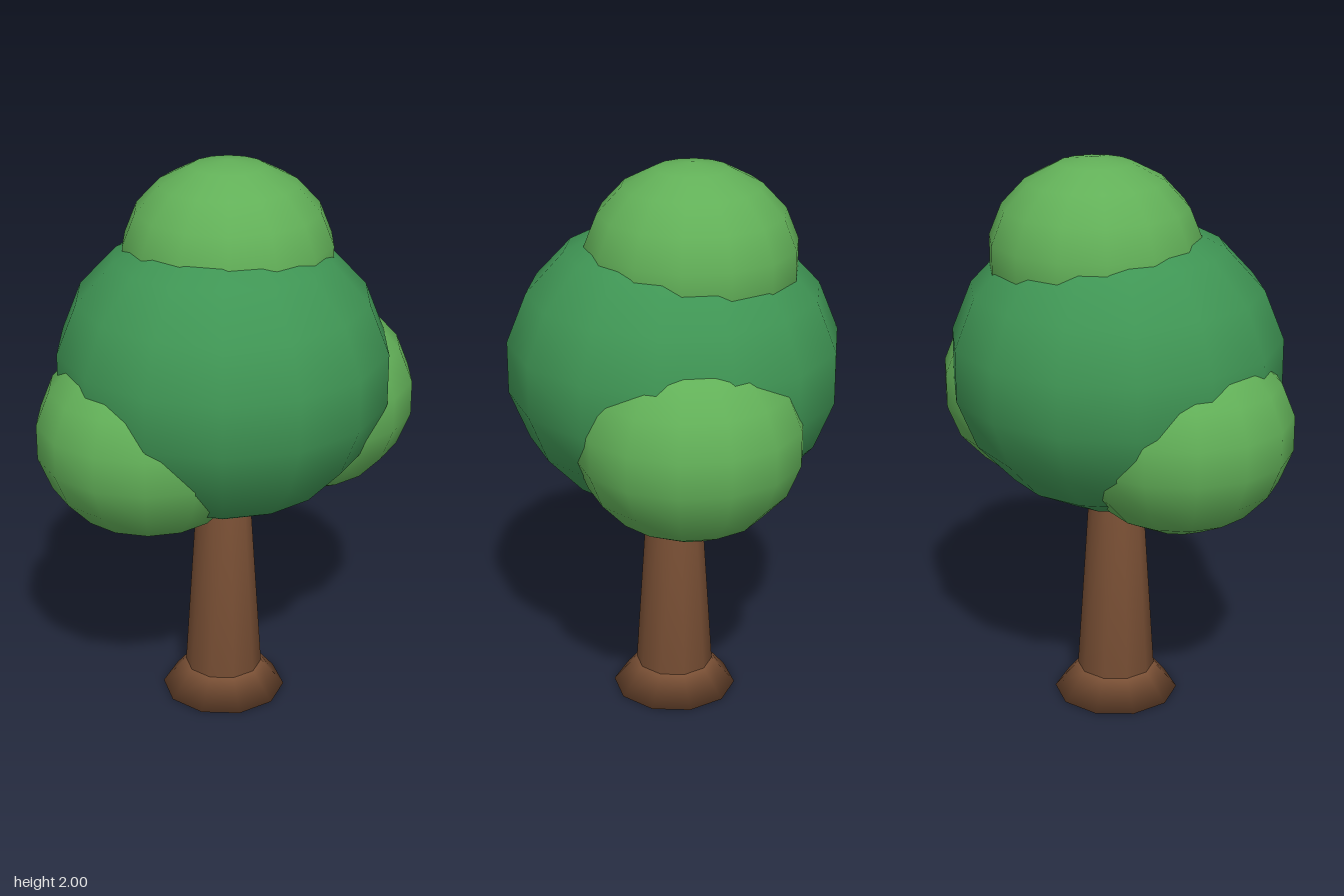
import * as THREE from 'three';
import { mergeVertices } from 'three/addons/utils/BufferGeometryUtils.js';

const material = (color) => new THREE.MeshStandardMaterial({ color });

// Weld a geometry so its shading runs smoothly over every edge
function weld(geometry) {
  geometry.deleteAttribute('normal');
  geometry.deleteAttribute('uv');
  const welded = mergeVertices(geometry, 1e-4);
  welded.computeVertexNormals();
  return welded;
}

export function createModel() {
  const tree = new THREE.Group();
  tree.name = 'tree';
  const bark = material(0x7a5035);
  const darkLeaf = material(0x3f9554);
  const lightLeaf = material(0x62b058);

  // Ten-sided tapered wood section standing on height y
  function addWood(name, topRadius, bottomRadius, y, height) {
    const geometry = new THREE.CylinderGeometry(topRadius, bottomRadius, height, 10);
    const mesh = new THREE.Mesh(weld(geometry), bark);
    mesh.name = name;
    mesh.position.set(-0.014, y + height / 2, 0);
    tree.add(mesh);
  }
  addWood('trunk', 0.092, 0.14, 0.1, 0.75);
  addWood('rootFlare', 0.14, 0.225, 0, 0.1);

  // Slightly flattened balls of foliage
  function addFoliage(name, mat, radius, x, y, z) {
    const geometry = new THREE.SphereGeometry(radius, 14, 9);
    geometry.rotateY(Math.PI / 2);
    geometry.scale(1, 0.9, 1);
    const mesh = new THREE.Mesh(weld(geometry), mat);
    mesh.name = name;
    mesh.position.set(x, y, z);
    tree.add(mesh);
  }
  addFoliage('mainCrown', darkLeaf, 0.587, -0.016, 1.285, 0);
  addFoliage('topCrown', lightLeaf, 0.372, 0.05, 1.665, -0.03);
  addFoliage('leftCrown', lightLeaf, 0.396, 0.28, 1.136, 0.13);
  addFoliage('rightCrown', lightLeaf, 0.396, -0.284, 1.096, -0.11);

  return tree;
}
